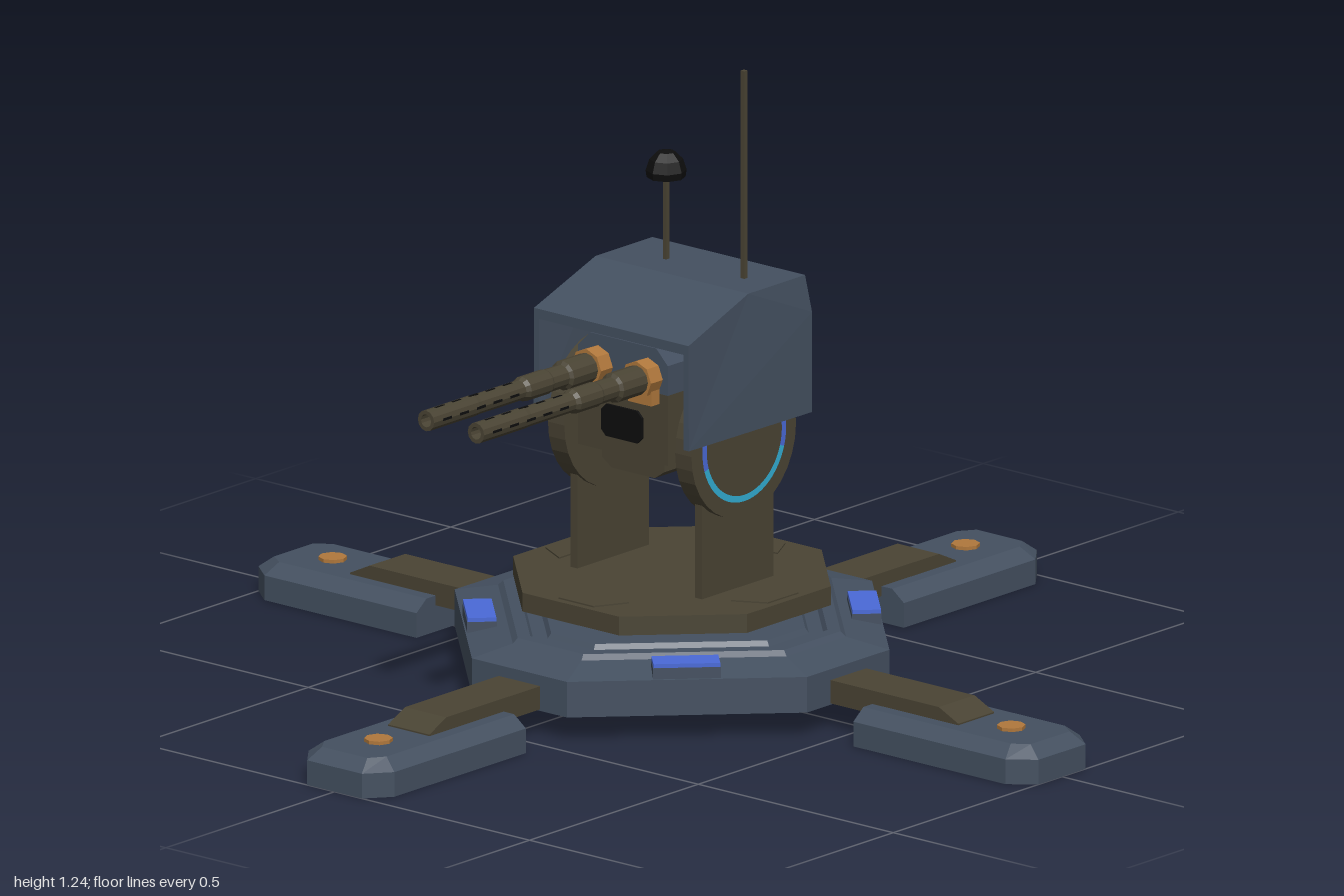
import * as THREE from 'three';

const mat = (name, color) => {
  const m = new THREE.MeshStandardMaterial({ color, flatShading: true });
  m.name = name;
  return m;
};

export function createModel() {
  const slate = mat('slate armour', 0x445060);
  const olive = mat('olive metal', 0x4a4434);
  const blue = mat('blue light', 0x4a6ad8);
  const cyan = mat('cyan light', 0x32aed4);
  const orange = mat('copper', 0xb0783c);
  const black = mat('black', 0x0e0e0e);

  const root = new THREE.Group();
  root.name = 'sentryTurret';
  const add = (name, geo, material, parent = root, x = 0, y = 0, z = 0) => {
    const mesh = new THREE.Mesh(geo, material);
    mesh.name = name;
    mesh.position.set(x, y, z);
    parent.add(mesh);
    return mesh;
  };
  const box = (w, h, d) => new THREE.BoxGeometry(w, h, d);

  // Joins rings of points (counterclockwise from above), capping both ends
  const loft = (rings) => {
    const v = [];
    const tri = (...p) => p.forEach((q) => v.push(...q));
    const n = rings[0].length;
    for (let r = 0; r < rings.length - 1; r++) {
      const a = rings[r], b = rings[r + 1];
      for (let i = 0; i < n; i++) {
        const j = (i + 1) % n;
        tri(a[i], a[j], b[j], a[i], b[j], b[i]);
      }
    }
    const s = rings[0], e = rings[rings.length - 1];
    for (let i = 1; i < n - 1; i++) {
      tri(s[0], s[i + 1], s[i]);
      tri(e[0], e[i], e[i + 1]);
    }
    const g = new THREE.BufferGeometry();
    g.setAttribute('position', new THREE.Float32BufferAttribute(v, 3));
    g.computeVertexNormals();
    return g;
  };
  // Octagon ring: f is the flat distance, w the half width of the axis sides
  const oct = (f, w, y) => [[f, w], [f, -w], [w, -f], [-w, -f], [-f, -w], [-f, w], [-w, f], [w, f]]
    .map(([x, z]) => [x, y, z]);
  // Extrudes an x,y outline along z, centred
  const slab = (pts, depth) => {
    const g = new THREE.ExtrudeGeometry(new THREE.Shape(pts.map((p) => new THREE.Vector2(...p))),
      { depth, bevelEnabled: false });
    return g.translate(0, 0, -depth / 2);
  };

  // Hollow base with stepped deck
  const basePath = [[0.405, 0.126], [0.405, 0.05], [0.452, 0.05], [0.452, 0.122], [0.37, 0.14], [0.36, 0.15],
    [0.335, 0.15], [0.328, 0.14], [0.3, 0.14], [0.293, 0.15], [0.25, 0.15]];
  add('base', loft(basePath.map(([f, y]) => oct(f, 0.122 - 0.414 * (0.452 - f), y))), slate);
  add('baseUnderplate', loft([oct(0.2, 0.083, 0.12), oct(0.2, 0.083, 0.13)]), slate);

  // Turntable
  add('turntableNeck', loft([oct(0.155, 0.064, 0.14), oct(0.155, 0.064, 0.19)]), olive);
  add('turntable', loft([oct(0.3, 0.124, 0.182), oct(0.3, 0.124, 0.22)]), olive);

  for (let k = 0; k < 4; k++) {
    // Flat light on each diagonal side, over a slate seat
    const corner = new THREE.Group();
    corner.name = 'cornerLight';
    corner.rotation.y = Math.PI / 4 + k * Math.PI / 2;
    root.add(corner);
    add('lightSeat', box(0.058, 0.03, 0.132), slate, corner, 0.374, 0.13, 0);
    add('lightPlate', box(0.056, 0.008, 0.13), blue, corner, 0.374, 0.149, 0);
    add('innerLight', box(0.008, 0.01, 0.12), blue, corner, 0.354, 0.115, 0);

    // Leg: arm, hollow foot and pin
    const leg = new THREE.Group();
    leg.name = 'leg';
    leg.rotation.y = k * Math.PI / 2;
    root.add(leg);
    add('arm', slab([[0.37, 0.053], [0.78, 0.053], [0.78, 0.076], [0.73, 0.1], [0.37, 0.1]], 0.106), olive, leg);
    const foot = (d, y, inner = 0.56) => {
      const half = [[inner, 0.11 - d], [0.95 - 0.4 * d, 0.11 - d], [1 - d, 0.07 - 0.4 * d]];
      return [...half, ...half.slice().reverse().map(([x, z]) => [x, -z])].map(([x, z]) => [x, y, z]);
    };
    add('foot', loft([foot(0.035, 0.06, 0.58), foot(0.03, 0, 0.58), foot(0, 0), foot(0, 0.05),
      foot(0.03, 0.073)]), slate, leg);
    add('footPin', new THREE.CylinderGeometry(0.028, 0.028, 0.07, 8), orange, leg, 0.87, 0.045, 0);

    // Thin trapezoid plate on the turntable
    const plate = slab([[0.22, -0.08], [0.285, -0.045], [0.285, 0.045], [0.22, 0.08]], 0.006);
    add('turntablePlate', plate.rotateX(-Math.PI / 2), olive, leg, 0, 0.22, 0);
  }

  // Fork: upright, disc and glowing ring on each side
  for (const s of [1, -1]) {
    const fork = new THREE.Group();
    fork.name = s > 0 ? 'leftFork' : 'rightFork';
    fork.rotation.y = s > 0 ? 0 : Math.PI;
    root.add(fork);
    add('upright', box(0.212, 0.3, 0.018), olive, fork, 0, 0.36, 0.16);
    add('disc', new THREE.CylinderGeometry(0.155, 0.155, 0.042, 32).rotateX(Math.PI / 2), olive, fork, 0, 0.522, 0.163);
    const arc = (name, from, to, m) =>
      add(name, new THREE.RingGeometry(0.111, 0.124, 24, 1, from, to - from), m, fork, 0, 0.522, 0.1855);
    arc('ringLight', Math.PI * 1.1, Math.PI * 1.9, cyan);
    arc('ringEnd', Math.PI * 1.9, Math.PI * 2.1, blue);
    arc('ringEnd', Math.PI * 0.9, Math.PI * 1.1, blue);
    add('axle', new THREE.CylinderGeometry(0.025, 0.025, 0.04, 10).rotateX(Math.PI / 2), orange, fork, 0, 0.565, 0.13);
    add('hoodPin', new THREE.CylinderGeometry(0.006, 0.006, 0.09, 8).rotateX(Math.PI / 2), olive, fork, 0, 0.665, 0.148);
    add('hoodStrut', box(0.02, 0.1, 0.01), olive, fork, 0, 0.755, 0.05);
  }

  // Hood: folded top and two side walls, narrowing upward and to the front
  const taper = (g) => {
    const p = g.attributes.position;
    for (let i = 0; i < p.count; i++) {
      const rise = Math.max(0, p.getY(i) - 0.75) / 0.07;
      const front = Math.max(0, -p.getX(i)) / 0.18;
      p.setZ(i, p.getZ(i) * (1 - 0.045 * rise - 0.03 * front));
    }
    g.computeVertexNormals();
    return g;
  };
  const ridge = [[0.178, 0.745], [0.168, 0.82], [0, 0.82], [-0.18, 0.755]];
  add('hoodTop', taper(slab([...ridge, [-0.18, 0.735], [0, 0.8], [0.15, 0.8], [0.163, 0.735]], 0.405)), slate);
  for (const s of [1, -1]) {
    add('hoodSide', taper(slab([[-0.18, 0.542], [0.178, 0.542], ...ridge], 0.014).translate(0, 0, s * 0.198)), slate);
  }

  // Gun housing, outlines run across z
  const housing = (name, pts, length, m) =>
    add(name, slab([...pts, ...pts.slice().reverse().map(([a, b]) => [-a, b])], length).rotateY(Math.PI / 2), m, root, -0.015, 0, 0);
  housing('housingTop', [[0.115, 0.63], [0.115, 0.69], [0.085, 0.72]], 0.26, slate);
  housing('housing', [[0.115, 0.488], [0.115, 0.63]], 0.26, olive);
  housing('housingBelly', [[0.055, 0.445], [0.08, 0.462], [0.08, 0.488]], 0.2, olive);
  housing('endPanels', [[0.04, 0.52], [0.052, 0.532], [0.052, 0.573], [0.04, 0.585]], 0.27, black);

  // Twin barrels pointing to -x, with small dark cooling slots
  const profile = [[0, 0], [0.03, 0], [0.03, 0.07], [0.023, 0.075], [0.023, 0.12], [0.025, 0.125],
    [0.025, 0.19], [0.02, 0.2], [0.02, 0.33], [0.021, 0.34], [0.021, 0.475], [0.013, 0.475], [0.013, 0.44], [0, 0.44]]
    .map((p) => new THREE.Vector2(...p));
  for (const z of [-0.064, 0.064]) {
    const gun = new THREE.Group();
    gun.name = 'gun';
    gun.position.set(-0.18, 0.66, z);
    root.add(gun);
    add('barrel', new THREE.LatheGeometry(profile, 12).rotateZ(Math.PI / 2), olive, gun);
    add('barrelMount', new THREE.CylinderGeometry(0.038, 0.038, 0.04, 8).rotateZ(Math.PI / 2), orange, gun, 0.02, 0, 0);
    add('mountBracket', box(0.03, 0.03, 0.06), orange, gun, 0.025, -0.035, 0);
    for (let i = 0; i < 5; i++) {
      const r = i < 2 ? 0.0405 : 0.0425;
      add('slot', box(0.026, r, 0.005), black, gun, -0.235 - i * 0.05, 0, 0);
      add('slot', box(0.026, 0.005, r), black, gun, -0.235 - i * 0.05, 0, 0);
    }
  }

  // Whip antenna and domed sensor
  add('antenna', box(0.01, 0.43, 0.01), olive, root, 0.075, 1.025, 0.12);
  add('sensorStem', box(0.009, 0.18, 0.009), olive, root, 0.075, 0.9, -0.08);
  const dome = [[0, 0], [0.038, 0], [0.04, 0.014], [0.033, 0.036], [0.018, 0.051], [0, 0.055]];
  add('sensorDome', new THREE.LatheGeometry(dome.map((p) => new THREE.Vector2(...p)), 8), black, root, 0.075, 0.986, -0.08);

  return root;
}
